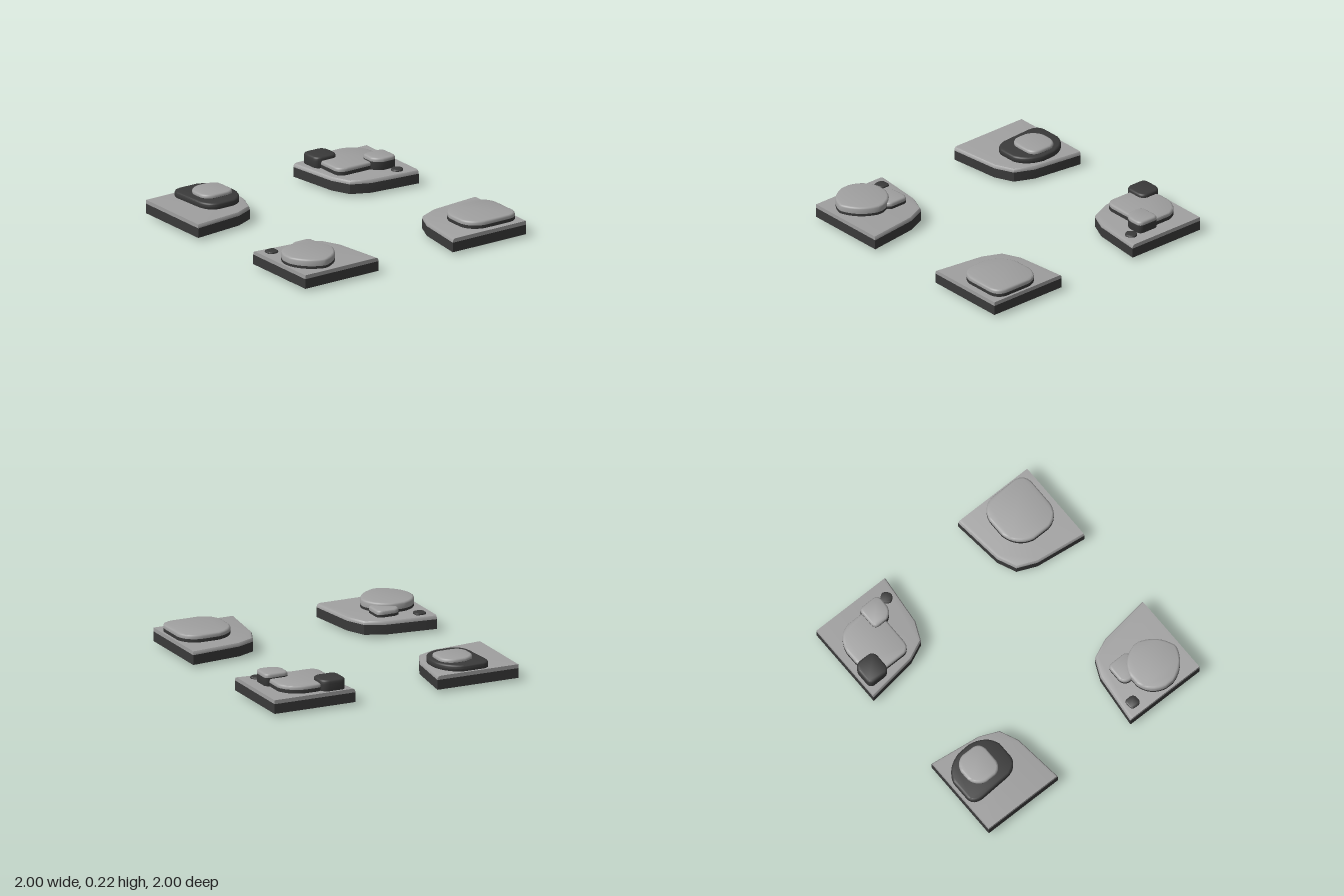
import * as THREE from 'three';
import { toCreasedNormals } from 'three/addons/utils/BufferGeometryUtils.js';

const lightStone = new THREE.MeshStandardMaterial({ color: 0xa0a0a0, side: THREE.DoubleSide });
lightStone.name = 'light stone';
const darkStone = new THREE.MeshStandardMaterial({ color: 0x3a3a3a, side: THREE.DoubleSide });
darkStone.name = 'dark stone';

// Joins rings of [x, y, z] points from bottom to top, with optional caps
function loft(rings, { bottom = false, top = false, crease = 0.7 } = {}) {
  const pos = [];
  const tri = (a, b, c) => pos.push(...a, ...b, ...c);
  for (let r = 0; r < rings.length - 1; r++) {
    const lo = rings[r], hi = rings[r + 1];
    lo.forEach((p, i) => {
      const j = (i + 1) % lo.length;
      tri(p, hi[i], lo[j]);
      tri(lo[j], hi[i], hi[j]);
    });
  }
  const cap = (ring, up) => {
    const flat = ring.map(([x, , z]) => new THREE.Vector2(x, z));
    for (const f of THREE.ShapeUtils.triangulateShape(flat, [])) {
      const [a, b, c] = f.map((i) => ring[i]);
      const facesUp = (b[2] - a[2]) * (c[0] - a[0]) - (b[0] - a[0]) * (c[2] - a[2]) > 0;
      if (facesUp === up) tri(a, b, c);
      else tri(a, c, b);
    }
  };
  if (bottom) cap(rings[0], false);
  if (top) cap(rings[rings.length - 1], true);
  const geo = new THREE.BufferGeometry();
  geo.setAttribute('position', new THREE.Float32BufferAttribute(pos, 3));
  return toCreasedNormals(geo, crease);
}

// Puts an outline of [x, z, ...] entries in the order that makes loft face outwards
function oriented(outline) {
  const area = THREE.ShapeUtils.area(outline.map(([x, z]) => new THREE.Vector2(x, z)));
  return area < 0 ? outline.slice().reverse() : outline;
}

function addMesh(group, name, geo, material) {
  const mesh = new THREE.Mesh(geo, material);
  mesh.name = name;
  group.add(mesh);
}

// Slab corner: x, z and the direction in which the bevel pulls each point inwards
const slabOutline = [
  [1, 0.345, 0, 1], [0.6, 0.387, 0.35, 0.95], [0.455, 0.452, 0.75, 0.75],
  [0.39, 0.6, 0.95, 0.35], [0.337, 1, 1, 0], [1, 1, 0, 0],
];

// Open-bottomed slab with a bevelled inner edge
function makeSlab(sx, sz) {
  const group = new THREE.Group();
  group.name = 'cornerSlab';
  const outline = oriented(slabOutline.map(([x, z, nx, nz]) => [x * sx, z * sz, nx * sx, nz * sz]));
  const ring = (y, d) => outline.map(([x, z, nx, nz]) => [x + nx * d, y, z + nz * d]);
  addMesh(group, 'slabWall', loft([ring(0.025, 0), ring(0.1, 0)], { crease: 0.5 }), darkStone);
  addMesh(group, 'slabTop', loft(
    [ring(0.1, 0), ring(0.115, 0.002), ring(0.126, 0.01), ring(0.13, 0.028)], { top: true }), lightStone);
  return group;
}

// Rectangle with each corner cut by its own share of the sides and bowed outwards;
// lean slides the sides along x towards the front
function rockOutline([x0, x1, z0, z1], cuts, lean) {
  const w = x1 - x0, d = z1 - z0, steps = 8;
  const corners = [[x0, z0, 1, 1], [x1, z0, -1, 1], [x1, z1, -1, -1], [x0, z1, 1, -1]];
  return oriented(corners.flatMap(([x, z, ix, iz], i) => {
    const cut = cuts[i], pull = cut * cut * 0.5;
    const at = (u, v) => new THREE.Vector2(x + ix * u * w, z + iz * v * d);
    const alongZ = at(0, cut), alongX = at(cut, 0), bow = at(pull, pull);
    const ends = i % 2 ? [alongX, alongZ] : [alongZ, alongX];
    return new THREE.QuadraticBezierCurve(ends[0], bow, ends[1]).getPoints(steps)
      .map((p) => [p.x + lean * (p.y - (z0 + z1) / 2), p.y]);
  }));
}

// Stone with a dark body from y0 to split and a rounded cap from split to y1
function makeRock({ name, box, cuts, y: [y0, split, y1], cap = lightStone, lean = 0 }) {
  const group = new THREE.Group();
  group.name = name;
  const outline = rockOutline(box, cuts, lean);
  const cx = (box[0] + box[1]) / 2, cz = (box[2] + box[3]) / 2;
  const ring = (y, d) => outline.map(([x, z]) => {
    const k = 1 - d / Math.hypot(x - cx, z - cz);
    return [cx + (x - cx) * k, y, cz + (z - cz) * k];
  });
  const b = Math.min(0.014, (y1 - split) * 0.6);
  addMesh(group, 'rockBody', loft(
    [ring(y0, b), ring(y0 + b * 0.6, b * 0.3), ring(y0 + b, 0), ring(split, 0)], { bottom: true }), darkStone);
  addMesh(group, 'rockCap', loft(
    [ring(split, 0), ring(y1 - b, 0), ring(y1 - b * 0.35, b * 0.3), ring(y1, b)], { top: true }), cap);
  return group;
}

// box: x and z limits; cuts: back right, back left, front left, front right
const rocks = [
  { name: 'frontLeftRock', box: [0.535, 0.98, 0.52, 0.95], cuts: [0.38, 0.3, 0.2, 0.3], y: [0.04, 0.155, 0.186] },
  { name: 'frontRightRock', box: [-0.98, -0.58, 0.545, 0.955], cuts: [0.38, 0.42, 0.48, 0.46], y: [0.003, 0.15, 0.2] },
  { name: 'frontRightSmallRock', box: [-0.77, -0.58, 0.47, 0.655], cuts: [0.3, 0.2, 0.2, 0.5], y: [0.06, 0.15, 0.18] },
  { name: 'frontRightPebble', box: [-0.95, -0.86, 0.4, 0.49], cuts: [0.3, 0.25, 0.35, 0.3],
    y: [0.1, 0.13, 0.143], cap: darkStone },
  { name: 'backLeftRock', box: [0.44, 0.88, -0.945, -0.565], cuts: [0.4, 0.37, 0.15, 0.17], y: [0.04, 0.158, 0.186] },
  { name: 'backLeftSmallRock', box: [0.72, 0.91, -0.675, -0.495], cuts: [0.2, 0.2, 0.2, 0.4], y: [0.08, 0.193, 0.222] },
  { name: 'backLeftDarkRock', box: [0.4, 0.595, -0.98, -0.795], cuts: [0.2, 0.3, 0.25, 0.25],
    y: [0.08, 0.18, 0.213], cap: darkStone },
  { name: 'backLeftPebble', box: [0.825, 0.92, -0.49, -0.395], cuts: [0.48, 0.48, 0.45, 0.45],
    y: [0.1, 0.13, 0.143], cap: darkStone },
  { name: 'backRightDarkRock', box: [-0.785, -0.41, -0.98, -0.525], cuts: [0.2, 0.38, 0.4, 0.25],
    y: [0.115, 0.15, 0.174], cap: darkStone, lean: 0.06 },
  { name: 'backRightLightRock', box: [-0.72, -0.45, -0.89, -0.635], cuts: [0.38, 0.35, 0.25, 0.3], y: [0.15, 0.175, 0.2] },
];

export function createModel() {
  const model = new THREE.Group();
  model.name = 'stoneCorners';
  for (const sx of [-1, 1]) for (const sz of [-1, 1]) model.add(makeSlab(sx, sz));
  for (const rock of rocks) model.add(makeRock(rock));
  return model;
}
